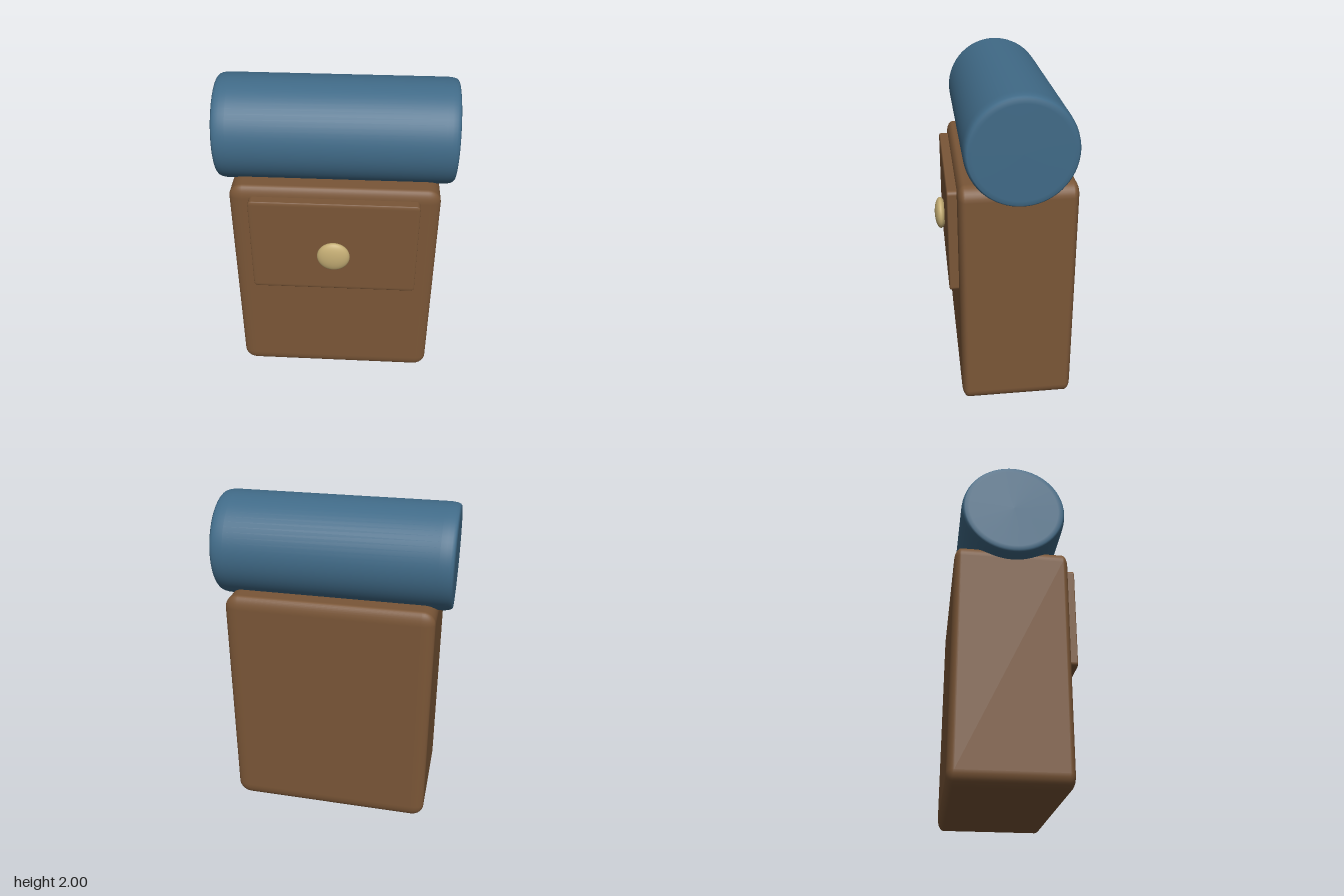
import * as THREE from 'three';
import { RoundedBoxGeometry } from 'three/addons/geometries/RoundedBoxGeometry.js';

export function createModel() {
  const group = new THREE.Group();

  const material = (name, color) => {
    const m = new THREE.MeshStandardMaterial({ color });
    m.name = name;
    return m;
  };
  const leather = material('brown leather', 0x7a5637);
  const blanket = material('blue blanket', 0x406a87);
  const brass = material('brass', 0xc4ad74);

  const add = (name, geometry, mat, x, y, z) => {
    const mesh = new THREE.Mesh(geometry, mat);
    mesh.name = name;
    mesh.position.set(x, y, z);
    group.add(mesh);
    return mesh;
  };

  // Rounded box whose edge rounding is shallower along z
  const softBox = (w, h, d, radius, squash) =>
    new RoundedBoxGeometry(w, h, d / squash, 4, radius).scale(1, 1, squash);

  // Pack body
  add('packBody', softBox(1.25, 1.455, 0.685, 0.08, 0.5), leather, 0, 0.7325, -0.06);

  // Front flap, sunk slightly into the body
  add('frontFlap', softBox(1.01, 0.645, 0.1, 0.025, 0.3), leather, 0, 1.0775, 0.29);

  // Flattened round clasp
  const clasp = new THREE.SphereGeometry(0.1, 32, 20).scale(1, 1, 0.37);
  add('clasp', clasp, brass, 0, 1.035, 0.363);

  // Bedroll with softened ends, turned to lie along x
  const end = [[0, 0.705], [0.27, 0.704], [0.295, 0.703], [0.304, 0.695], [0.31, 0.68], [0.314, 0.655], [0.315, 0.62]];
  const profile = [
    ...end.map(([r, x]) => new THREE.Vector2(r, -x)),
    ...end.slice().reverse().map(([r, x]) => new THREE.Vector2(r, x)),
  ];
  const roll = new THREE.LatheGeometry(profile, 64).rotateZ(-Math.PI / 2);
  add('bedroll', roll, blanket, 0, 1.685, -0.06);

  return group;
}
